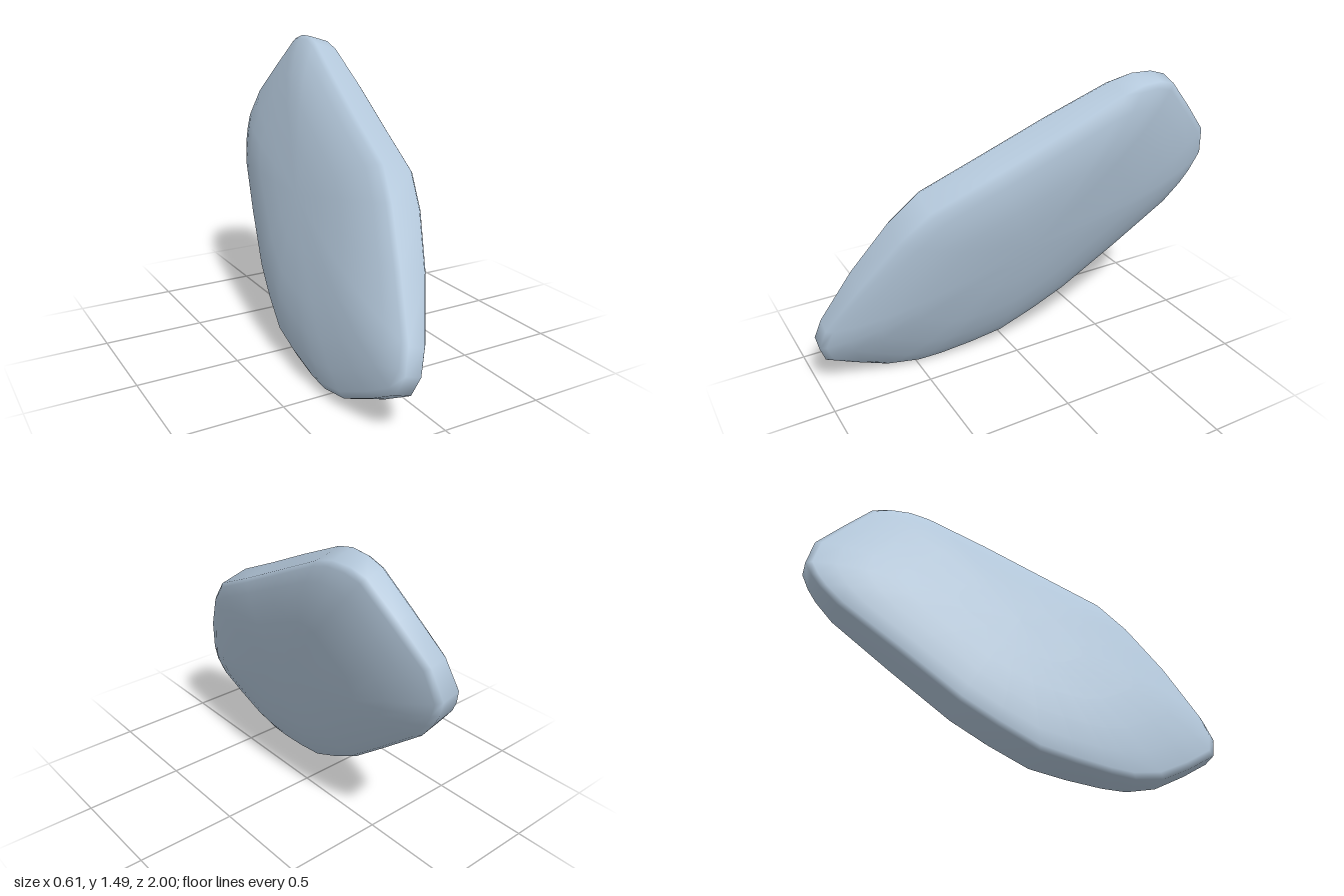
import * as THREE from 'three';

// Slab outline as [z, y], counter-clockwise seen from +x
const OUTLINE = [
  [1, 0.28], [0.97, 0.19], [0.82, 0.105], [0.65, 0.025], [0.5, 0], [0.38, 0.01], [0.21, 0.04],
  [0.04, 0.08], [-0.14, 0.18], [-0.31, 0.29], [-0.58, 0.52], [-0.85, 0.75], [-0.93, 0.85],
  [-0.97, 0.92], [-1, 1.0], [-0.96, 1.15], [-0.82, 1.31], [-0.68, 1.46], [-0.6, 1.485],
  [-0.5, 1.485], [-0.4, 1.455], [-0.1, 1.31], [0.2, 1.162], [0.51, 1.015], [0.65, 0.875],
  [0.82, 0.64], [0.97, 0.39],
];

// Cross-section rings: [scale of outline, side]; rim rings sit close together for a tight round edge
const HALF = [0.3, 0.55, 0.73, 0.87, 0.97, 1];
const RINGS = [...HALF.map((s) => [s, 1]), ...[...HALF].reverse().map((s) => [s, -1])];
const CENTRE = [0, 0.74];

// Leaning mid-plane plus an offset along its normal; thickness swells inward and thins at the ends
function place(z, y, s, side) {
  const u = Math.abs(0.816 * z - 0.577 * (y - CENTRE[1]));
  const rim = 0.088 - 0.042 * Math.min(u, 1) ** 3;
  const swell = rim + (0.165 - rim) * (1 - s ** 3.2);
  const t = side * (s === 1 ? rim * 0.85 : swell);
  const py = CENTRE[1] + (y - CENTRE[1]) * 0.98;
  return [-0.23 + 0.305 * py - 0.03 * z + 0.957 * t, py - 0.29 * t, z + 0.03 * t];
}

function slabGeometry() {
  const n = OUTLINE.length;
  const pos = [...place(...CENTRE, 0, 1)];
  const index = [];
  for (const [s, side] of RINGS) {
    for (const [z, y] of OUTLINE) {
      pos.push(...place(z * s, CENTRE[1] + (y - CENTRE[1]) * s, s, side));
    }
  }
  pos.push(...place(...CENTRE, 0, -1));
  const last = 1 + RINGS.length * n;
  const at = (r, i) => 1 + r * n + (i % n);
  for (let i = 0; i < n; i++) {
    index.push(0, at(0, i), at(0, i + 1));
    for (let r = 0; r < RINGS.length - 1; r++) {
      index.push(at(r, i), at(r + 1, i), at(r + 1, i + 1));
      index.push(at(r, i), at(r + 1, i + 1), at(r, i + 1));
    }
    index.push(at(RINGS.length - 1, i), last, at(RINGS.length - 1, i + 1));
  }
  const geo = new THREE.BufferGeometry();
  geo.setAttribute('position', new THREE.Float32BufferAttribute(pos, 3));
  geo.setIndex(index);
  geo.computeVertexNormals();
  return geo;
}

export function createModel() {
  const group = new THREE.Group();
  group.name = 'stone';
  const blueGrey = new THREE.MeshStandardMaterial({ color: 0xb4c8db });
  blueGrey.name = 'blueGreyStone';
  const slab = new THREE.Mesh(slabGeometry(), blueGrey);
  slab.name = 'stoneSlab';
  group.add(slab);
  return group;
}
